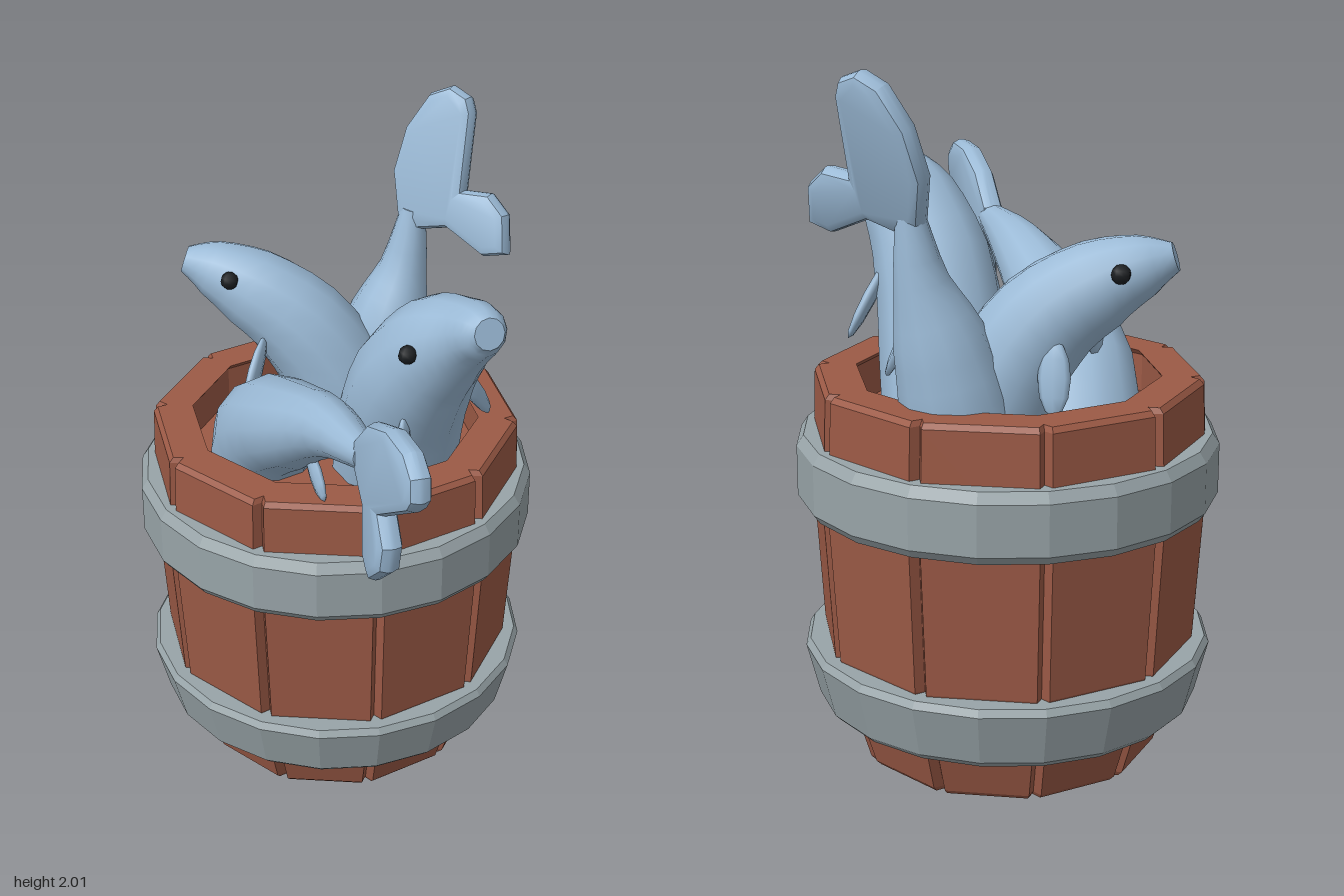
import * as THREE from 'three';
import { toCreasedNormals } from 'three/addons/utils/BufferGeometryUtils.js';

const V = (x, y, z) => new THREE.Vector3(x, y, z);
const mat = (color, flatShading = false) => new THREE.MeshStandardMaterial({ color, flatShading });
const wood = mat(0x9c5a46, true), iron = mat(0x98a4a8, true);
const skin = mat(0x9bbad6), black = mat(0x1c1f22);

function add(parent, name, geometry, material) {
  const mesh = new THREE.Mesh(geometry, material);
  mesh.name = name;
  parent.add(mesh);
  return mesh;
}

// Skin a row of equal closed loops, with a fan at both ends
function loft(rings) {
  const n = rings[0].length, last = (rings.length - 1) * n, pts = rings.flat(), index = [];
  const centre = (ring) => ring.reduce((s, p) => s.add(p), V(0, 0, 0)).divideScalar(n);
  const c0 = pts.length, c1 = c0 + 1;
  pts.push(centre(rings[0]), centre(rings[rings.length - 1]));
  for (let j = 0; j < n; j++) {
    const k = (j + 1) % n;
    for (let a = 0; a < last; a += n) {
      index.push(a + j, a + k, a + n + j, a + k, a + n + k, a + n + j);
    }
    index.push(k, j, c0, last + j, last + k, c1);
  }
  const geo = new THREE.BufferGeometry().setFromPoints(pts);
  geo.setIndex(index);
  geo.computeVertexNormals();
  return geo;
}

// Barrel: ten chamfered staves, two hoops, two round boards
function makeBarrel() {
  const barrel = new THREE.Group();
  barrel.name = 'barrel';
  const half = Math.PI / 10, tan = Math.tan(half);
  const profile = [[0, 0.425], [0.015, 0.44], [0.35, 0.545], [0.76, 0.57], [1.105, 0.558], [1.12, 0.545]];
  const rings = profile.map(([y, r]) => {
    const a = r * Math.cos(half), groove = a - 0.03, inner = Math.min(a - 0.105, 0.425);
    return [[inner, -inner * tan], [groove, -groove * tan], [a, 0.018 - a * tan],
      [a, a * tan - 0.018], [groove, groove * tan], [inner, inner * tan]].map(([d, t]) => V(t, y, d));
  });
  const stave = loft(rings);
  for (let i = 0; i < 10; i++) {
    add(barrel, 'stave', stave, wood).rotation.y = (2 * i + 1) * half;
  }
  const hoops = {
    upperHoop: [[0.53, 0.76], [0.582, 0.76], [0.6, 0.785], [0.6, 0.93], [0.58, 0.96], [0.53, 0.96], [0.53, 0.76]],
    lowerHoop: [[0.47, 0.155], [0.53, 0.155], [0.55, 0.175], [0.588, 0.325], [0.575, 0.345], [0.5, 0.345], [0.47, 0.155]],
  };
  for (const [name, p] of Object.entries(hoops)) {
    add(barrel, name, new THREE.LatheGeometry(p.map(([x, y]) => new THREE.Vector2(x, y)), 20), iron);
  }
  add(barrel, 'bottomBoard', new THREE.CylinderGeometry(0.37, 0.36, 0.03, 10), wood).position.y = 0.065;
  add(barrel, 'innerBoard', new THREE.CylinderGeometry(0.45, 0.45, 0.03, 10), wood).position.y = 0.98;
  barrel.position.z = -0.265;
  return barrel;
}

// Tapered body along a spline; stations are [x, y, z, radius]
function addBody(fish, stations, side) {
  const path = new THREE.CatmullRomCurve3(stations.map((s) => V(s[0], s[1], s[2])));
  const count = (stations.length - 1) * 3, sides = 12, rings = [];
  for (let i = 0; i <= count; i++) {
    const t = i / count, f = t * (stations.length - 1);
    const k = Math.min(Math.floor(f), stations.length - 2);
    const r = THREE.MathUtils.lerp(stations[k][3], stations[k + 1][3], f - k);
    const p = path.getPoint(t), T = path.getTangent(t);
    const N = side.clone().addScaledVector(T, -side.dot(T)).normalize();
    const B = T.clone().cross(N);
    rings.push(Array.from({ length: sides }, (_, j) => {
      const a = (j / sides) * Math.PI * 2;
      return p.clone().addScaledVector(N, r * Math.cos(a)).addScaledVector(B, r * Math.sin(a));
    }));
  }
  add(fish, 'body', toCreasedNormals(loft(rings), 0.8), skin);
}

// Leaf-shaped fin from root to tip; flat towards the given direction
function addFin(fish, root, tip, flat, width = 0.045) {
  const y = tip.clone().sub(root), len = y.length();
  y.normalize();
  const z = flat.clone().addScaledVector(y, -flat.dot(y)).normalize();
  const geo = new THREE.SphereGeometry(1, 8, 6).scale(width, len / 2, 0.018);
  geo.applyMatrix4(new THREE.Matrix4().makeBasis(y.clone().cross(z), y, z));
  add(fish, 'fin', geo, skin).position.copy(root).lerp(tip, 0.5);
}

// Two-lobed tail fluke, long lobe along tip1 and short lobe towards tip2
function addFluke(fish, base, tip1, tip2) {
  const outline = [[-0.01, -0.04], [0.108, -0.107], [0.249, -0.119], [0.37, -0.085], [0.42, -0.026],
    [0.413, 0.04], [0.376, 0.07], [0.156, 0.135], [0.186, 0.218], [0.152, 0.291], [0.046, 0.341],
    [0.005, 0.27], [0.028, 0.126], [-0.02, 0.04]];
  const shape = new THREE.Shape(outline.map(([x, y]) => new THREE.Vector2(x, y)));
  const geo = new THREE.ExtrudeGeometry(shape, {
    depth: 0.012, bevelThickness: 0.03, bevelSize: 0.028, bevelOffset: -0.028, bevelSegments: 2,
  }).translate(0, 0, -0.006);
  const x = tip1.clone().sub(base).normalize(), y = tip2.clone().sub(base);
  y.addScaledVector(x, -y.dot(x)).normalize();
  geo.applyMatrix4(new THREE.Matrix4().makeBasis(x, y, x.clone().cross(y)));
  add(fish, 'tailFluke', toCreasedNormals(geo, 0.6), skin).position.copy(base);
}

function addEyes(fish, ...places) {
  for (const p of places) {
    add(fish, 'eye', new THREE.SphereGeometry(0.027, 8, 6), black).position.copy(p);
  }
}

function newFish(parent, name) {
  const fish = new THREE.Group();
  fish.name = name;
  parent.add(fish);
  return fish;
}

export function createModel() {
  const model = new THREE.Group();
  model.name = 'barrelOfFish';
  model.add(makeBarrel());

  // Front fish, head up
  const front = newFish(model, 'frontFish');
  addBody(front, [[0.16, 0.85, -0.2, 0.19], [0.155, 1.13, -0.1, 0.19], [0.17, 1.38, 0.02, 0.175],
    [0.22, 1.53, 0.12, 0.145], [0.265, 1.61, 0.22, 0.1], [0.285, 1.65, 0.3, 0.07], [0.29, 1.66, 0.335, 0.045]], V(1, 0, 0));
  addEyes(front, V(0.33, 1.605, 0.08), V(0.1, 1.55, 0.2));
  addFin(front, V(0.29, 1.39, 0.03), V(0.43, 1.18, -0.07), V(1, 0.4, 0.5));
  addFin(front, V(0.11, 1.34, 0.15), V(0.1, 1.1, 0.15), V(0.8, 0, 0.6));

  // Left-hand fish, tail over the front rim
  const diver = newFish(model, 'divingFish');
  addBody(diver, [[-0.2, 0.85, -0.4, 0.17], [-0.21, 1.1, -0.24, 0.165], [-0.18, 1.25, 0, 0.13],
    [-0.125, 1.36, 0.22, 0.085], [-0.08, 1.41, 0.47, 0.04]], V(1, 0, 0));
  addFluke(diver, V(-0.08, 1.41, 0.45), V(-0.03, 1.54, 0.86), V(-0.08, 1.1, 0.6));
  addFin(diver, V(-0.16, 1.22, 0.08), V(-0.14, 1.12, 0.22), V(1, 0, 0));

  // Back fish, head towards the back corner
  const back = newFish(model, 'backFish');
  addBody(back, [[0.12, 0.85, -0.42, 0.17], [0.06, 1.12, -0.45, 0.165], [-0.06, 1.32, -0.49, 0.15],
    [-0.2, 1.43, -0.545, 0.125], [-0.31, 1.485, -0.59, 0.085], [-0.385, 1.51, -0.615, 0.04]], V(0, 0, 1));
  addEyes(back, V(-0.275, 1.495, -0.465), V(-0.225, 1.48, -0.665));
  addFin(back, V(-0.18, 1.32, -0.42), V(-0.27, 1.14, -0.3), V(1, 0, 0.6));
  addFin(back, V(-0.06, 1.3, -0.62), V(-0.05, 1.1, -0.66), V(-0.4, 0, 1));

  // Back right fish, tail straight up
  const tailUp = newFish(model, 'tailUpFish');
  addBody(tailUp, [[0.14, 0.85, -0.5, 0.16], [0.19, 1.12, -0.515, 0.155], [0.235, 1.3, -0.52, 0.125],
    [0.28, 1.45, -0.53, 0.075], [0.31, 1.64, -0.535, 0.038]], V(1, 0, 0));
  addFluke(tailUp, V(0.305, 1.61, -0.535), V(0.45, 2, -0.54), V(0.545, 1.6, -0.285));
  addFin(tailUp, V(0.29, 1.34, -0.47), V(0.36, 1.16, -0.4), V(1, 0.3, 0.3));
  return model;
}
